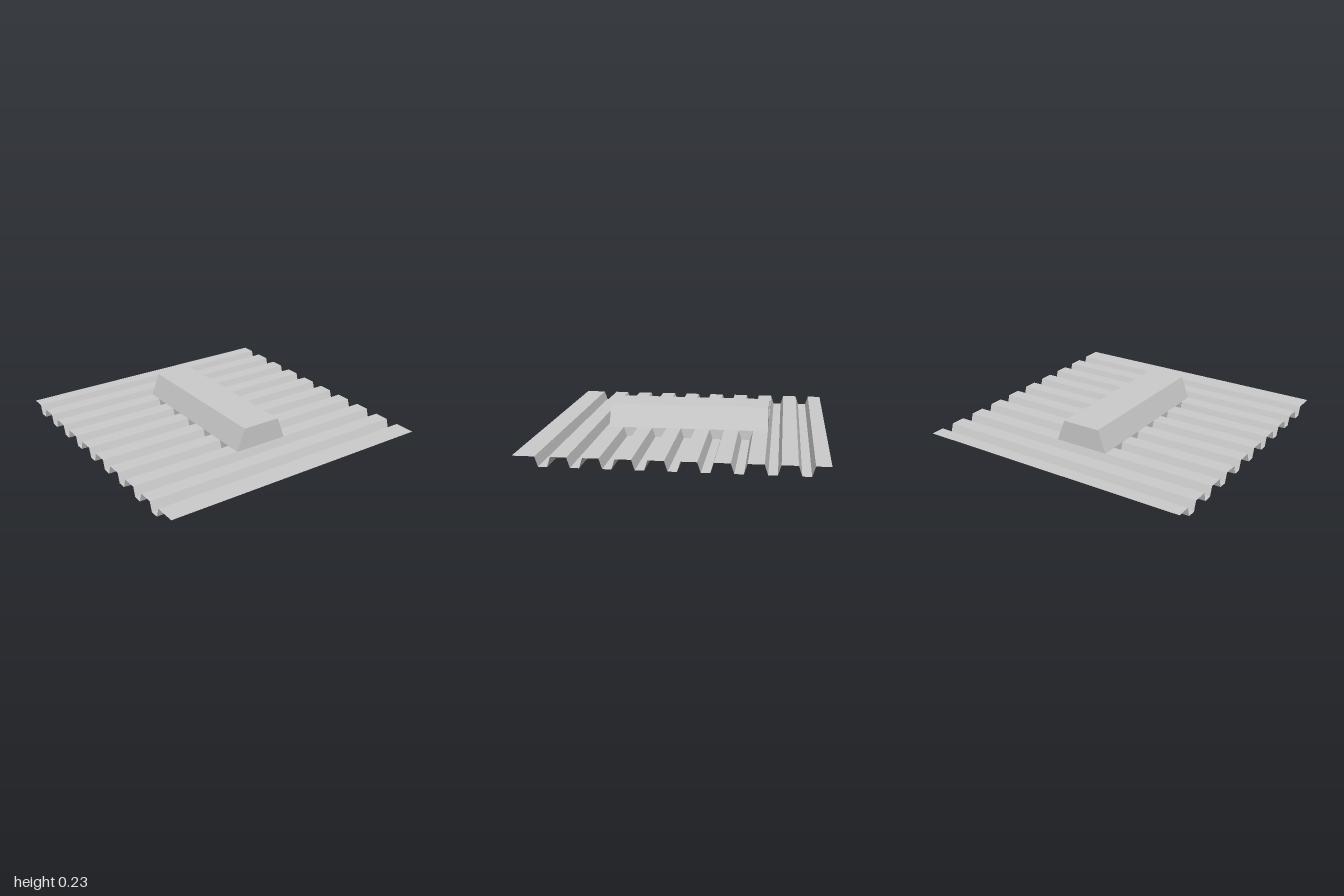
import * as THREE from 'three';

const TOP = 0.077, FLOOR = 0.01, PITCH = 0.2065, COUNT = 9;
const HALF = 0.2, CAP_HALF = 0.14, CAP_Y = 0.235;

// z positions of one valley: rear lip, rear floor, front floor, front lip
const valley = i => [-0.902, -0.881, -0.822, -0.8].map(z => z + i * PITCH);
const BACK = valley(1)[3], FRONT = valley(7)[0];

// Corrugation profile as [z, y] points, from back to front
function profile() {
  const pts = [[-1, TOP]];
  for (let i = 0; i < COUNT; i++) {
    const [a, b, c, d] = valley(i);
    pts.push([a, TOP], [b, FLOOR], [c, FLOOR], [d, TOP]);
  }
  pts.push([1, TOP]);
  return pts;
}

// Flat-shaded mesh from quads of four [x, y, z] corners, anticlockwise from outside
function quadMesh(name, quads, material) {
  const pos = [];
  for (const [a, b, c, d] of quads) pos.push(...a, ...b, ...c, ...a, ...c, ...d);
  const geo = new THREE.BufferGeometry();
  geo.setAttribute('position', new THREE.Float32BufferAttribute(pos, 3));
  geo.computeVertexNormals();
  const mesh = new THREE.Mesh(geo, material);
  mesh.name = name;
  return mesh;
}

// Run of corrugated sheet between x0 and x1; sag lowers one cut floor corner
function strip(pts, x0, x1, sag = () => 0) {
  const quads = [];
  for (let i = 0; i < pts.length - 1; i++) {
    const [za, ya] = pts[i], [zb, yb] = pts[i + 1];
    quads.push([
      [x0, ya, za], [x0, yb, zb],
      [x1, yb - sag(zb, yb), zb], [x1, ya - sag(za, ya), za],
    ]);
  }
  return quads;
}

export function createModel() {
  const group = new THREE.Group();
  group.name = 'corrugatedPanel';
  const material = new THREE.MeshStandardMaterial({
    color: 0xcccccc, flatShading: true, side: THREE.DoubleSide,
  });
  const pts = profile(), eps = 1e-4;

  // Corrugated sheet, open beneath the raised cover
  const bentEdge = valley(6)[2];
  const sag = (z, y) => (Math.abs(z - bentEdge) < eps && y === FLOOR ? FLOOR : 0);
  group.add(
    quadMesh('leftSheet', strip(pts, HALF, 1), material),
    quadMesh('rightSheet', strip(pts, -1, -HALF, sag), material),
    quadMesh('backSheet', strip(pts.filter(p => p[0] <= BACK + eps), -HALF, HALF), material),
    quadMesh('frontSheet', strip(pts.filter(p => p[0] >= FRONT - eps), -HALF, HALF), material),
  );

  // Raised cover: flat top, sloping sides and upright ends
  const ring = z => [[-HALF, TOP, z], [HALF, TOP, z], [CAP_HALF, CAP_Y, z], [-CAP_HALF, CAP_Y, z]];
  const f = ring(FRONT), b = ring(BACK);
  group.add(quadMesh('raisedCover', [
    f,
    [b[1], b[0], b[3], b[2]],
    [f[3], f[2], b[2], b[3]],
    [f[1], b[1], b[2], f[2]],
    [b[0], f[0], f[3], b[3]],
  ], material));

  // Upright tabs closing the valleys along both sides of the cover
  for (const side of [1, -1]) {
    const tabs = [];
    for (let i = 2; i <= 6; i++) {
      const [z0, z1, z2, z3] = valley(i), x = side * HALF;
      const quad = [[x, TOP, z3], [x, FLOOR, z2], [x, FLOOR, z1], [x, TOP, z0]];
      tabs.push(side > 0 ? quad : quad.reverse());
    }
    group.add(quadMesh(side > 0 ? 'leftTabs' : 'rightTabs', tabs, material));
  }
  return group;
}
